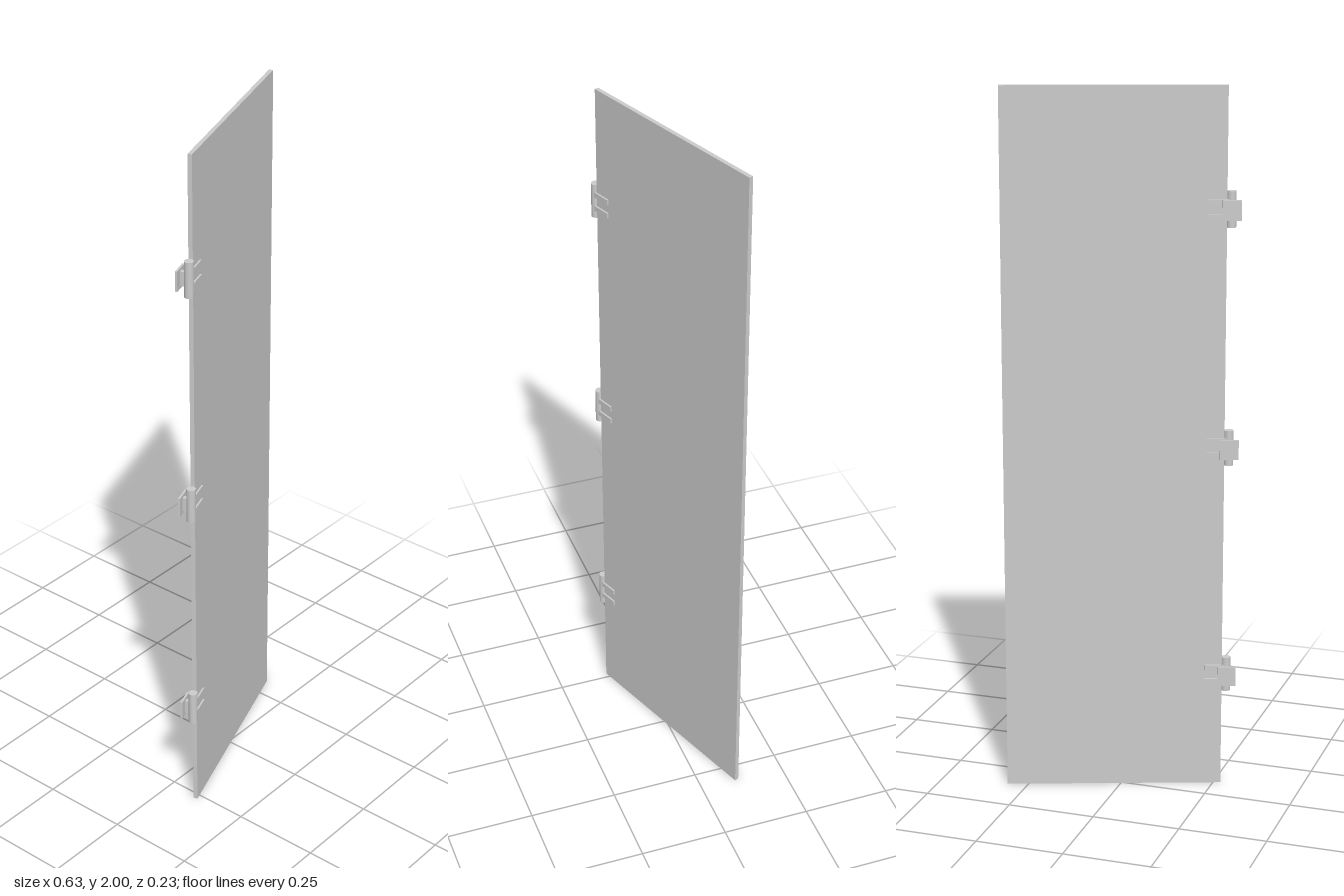
import * as THREE from 'three';

const material = new THREE.MeshStandardMaterial({ color: 0xcccccc });

function addBox(parent, name, w, h, d, x, y, z) {
  const mesh = new THREE.Mesh(new THREE.BoxGeometry(w, h, d), material);
  mesh.name = name;
  mesh.position.set(x, y, z);
  parent.add(mesh);
}

// Hinge: barrel, wall plate on a short stem, and four prongs gripping the panel
function createHinge() {
  const hinge = new THREE.Group();
  hinge.name = 'hinge';

  const barrel = new THREE.Mesh(new THREE.CylinderGeometry(0.0128, 0.0128, 0.1, 32), material);
  barrel.name = 'hingeBarrel';
  hinge.add(barrel);

  addBox(hinge, 'wallPlate', 0.052, 0.056, 0.006, 0, 0, -0.025);
  addBox(hinge, 'plateStem', 0.0125, 0.04, 0.018, 0, 0, -0.014);

  for (const side of [-1, 1]) {
    for (const level of [-1, 1]) {
      addBox(hinge, 'panelProng', 0.062, 0.015, 0.005, 0.031, level * 0.0205, side * 0.0085);
    }
  }
  return hinge;
}

export function createModel() {
  const model = new THREE.Group();
  model.name = 'hingedDoor';

  // Everything swings together about the hinge axis
  const leaf = new THREE.Group();
  leaf.name = 'doorLeaf';
  leaf.position.set(-0.28, 0, 0.1);
  leaf.rotation.y = THREE.MathUtils.degToRad(19.5);
  model.add(leaf);

  // Door panel
  const start = 0.0122, end = 0.625;
  addBox(leaf, 'panel', end - start, 2, 0.012, (start + end) / 2, 1, 0);

  // Three evenly spaced hinges
  for (const y of [1 / 3, 1, 5 / 3]) {
    const hinge = createHinge();
    hinge.position.y = y;
    leaf.add(hinge);
  }
  return model;
}
